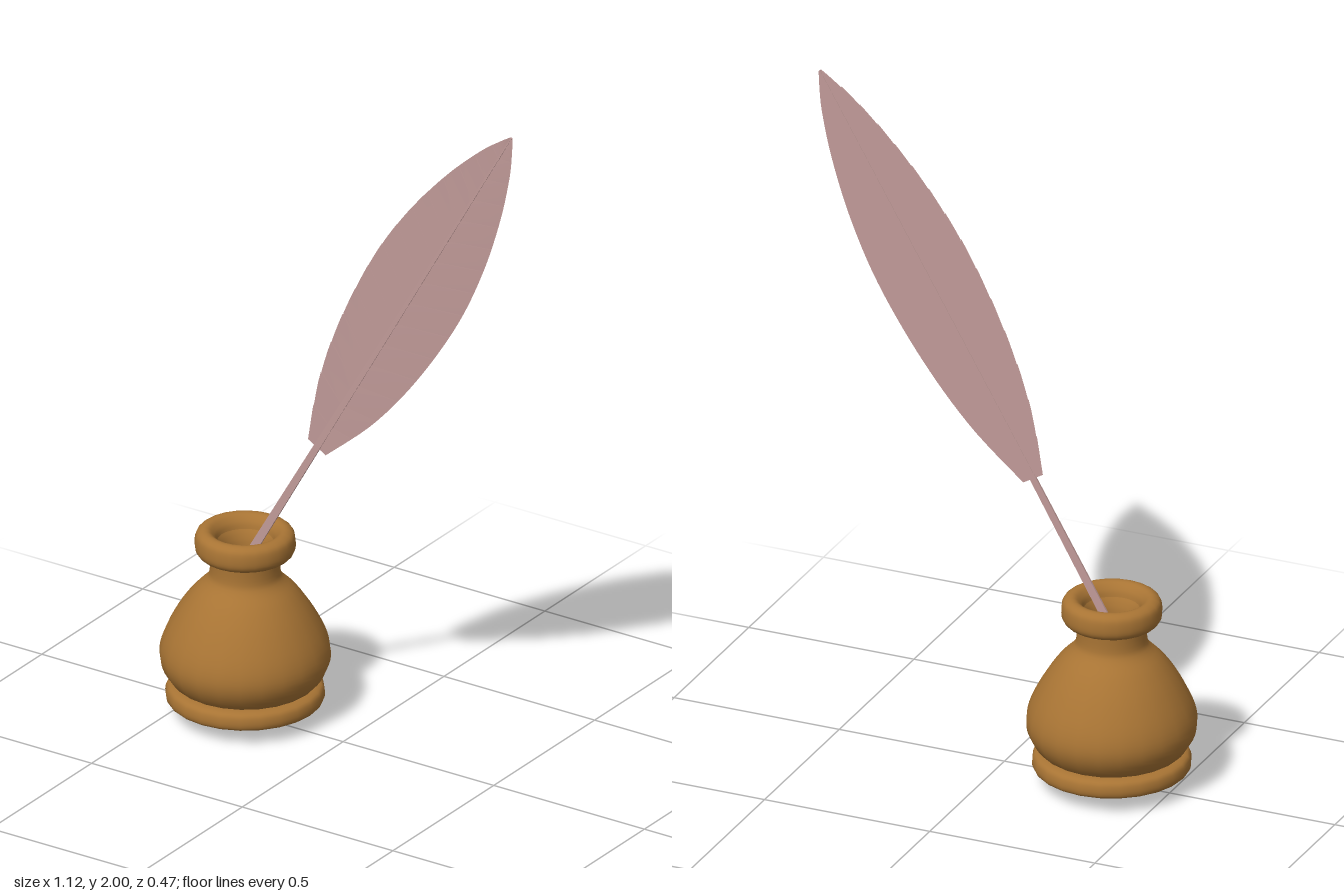
import * as THREE from 'three';

const brown = new THREE.MeshStandardMaterial({ color: 0xa87434, side: THREE.DoubleSide });
const pink = new THREE.MeshStandardMaterial({ color: 0xc09a98, side: THREE.DoubleSide });

const vec2 = ([x, y]) => new THREE.Vector2(x, y);

function addMesh(parent, name, geometry, material) {
  const mesh = new THREE.Mesh(geometry, material);
  mesh.name = name;
  parent.add(mesh);
}

// Turned part: a smooth curve through [radius, height] points
function turned(points, steps) {
  const curve = new THREE.SplineCurve(points.map(vec2));
  const pts = curve.getPoints(steps);
  pts.forEach((p) => { p.x = Math.max(p.x, 0); });
  return new THREE.LatheGeometry(pts, 24);
}

function createInkPot() {
  const pot = new THREE.Group();
  pot.name = 'inkPot';
  addMesh(pot, 'underside', turned([[0, 0.003], [0.06, 0.006], [0.12, 0.016], [0.17, 0.032], [0.205, 0.048]], 12), brown);
  addMesh(pot, 'footRing', turned([[0.205, 0.048], [0.217, 0.055], [0.221, 0.072], [0.216, 0.093], [0.2, 0.102], [0.18, 0.104]], 15), brown);
  addMesh(pot, 'body', turned([[0.18, 0.1], [0.205, 0.115], [0.23, 0.155], [0.237, 0.2], [0.222, 0.255],
    [0.185, 0.325], [0.145, 0.38], [0.108, 0.418], [0.098, 0.445], [0.098, 0.495]], 30), brown);
  addMesh(pot, 'lip', turned([[0.096, 0.49], [0.122, 0.491], [0.137, 0.506], [0.14, 0.53], [0.135, 0.555],
    [0.118, 0.567], [0.1, 0.565], [0.084, 0.548], [0.078, 0.53]], 28), brown);
  // Hollow: narrow throat opening into the belly
  addMesh(pot, 'inside', turned([[0.078, 0.53], [0.07, 0.515], [0.063, 0.49], [0.062, 0.44], [0.09, 0.39],
    [0.15, 0.31], [0.19, 0.22], [0.17, 0.14], [0.1, 0.1], [0, 0.09]], 30), brown);
  return pot;
}

const LENGTH = 1.292;
const BARBS = 15;
const ROWS = 3;
// Half-width of the vane along its length
const outline = new THREE.SplineCurve([[0, 0.034], [0.2, 0.102], [0.42, 0.141], [0.66, 0.154],
  [0.86, 0.137], [1.04, 0.1], [1.18, 0.056], [1.26, 0.02], [LENGTH, 0.003]].map(vec2)).getPoints(80);

function halfWidth(u) {
  const i = Math.max(1, outline.findIndex((p) => p.x >= u - 1e-6));
  const a = outline[i - 1], b = outline[i];
  return THREE.MathUtils.lerp(a.y, b.y, THREE.MathUtils.clamp((u - a.x) / (b.x - a.x), 0, 1));
}

// One side of the vane; barbs slant to the tip and overlap like shingles in front
function vaneGeometry(side, front) {
  const position = [], index = [];
  for (let b = 0; b < BARBS; b++) {
    for (let r = 0; r <= ROWS; r++) {
      const t = (b + r / ROWS) / BARBS;
      const u = t * LENGTH;
      const edge = Math.min(LENGTH, u + 0.1 * Math.sin(Math.PI * t));
      const lift = front ? 0.0035 * r / ROWS : 0;
      const z = front ? 0 : -0.0015;
      position.push(0, u, z + lift * 0.5, side * halfWidth(edge), edge, z + lift);
      if (r < ROWS) {
        const k = (b * (ROWS + 1) + r) * 2;
        const quad = [k, k + 1, k + 3, k, k + 3, k + 2];
        index.push(...((side > 0) === front ? quad : quad.reverse()));
      }
    }
  }
  const g = new THREE.BufferGeometry();
  g.setAttribute('position', new THREE.Float32BufferAttribute(position, 3));
  g.setIndex(index);
  g.computeVertexNormals();
  return g;
}

function createQuill() {
  const quill = new THREE.Group();
  quill.name = 'quill';

  // Thin flat shaft, tapering from the nib to the tip
  const bottom = -0.57;
  const shaft = new THREE.Shape([[-0.004, bottom], [0.004, bottom], [0.013, bottom + 0.06], [0.01, 0],
    [0.002, LENGTH], [-0.002, LENGTH], [-0.01, 0], [-0.013, bottom + 0.06]].map(vec2));
  const shaftGeometry = new THREE.ExtrudeGeometry(shaft, { depth: 0.006, bevelEnabled: false });
  shaftGeometry.translate(0, 0, -0.0025);
  addMesh(quill, 'shaft', shaftGeometry, pink);

  for (const side of [-1, 1]) {
    const name = side < 0 ? 'rightVane' : 'leftVane';
    addMesh(quill, name + 'Front', vaneGeometry(side, true), pink);
    addMesh(quill, name + 'Back', vaneGeometry(side, false), pink);
  }
  return quill;
}

export function createModel() {
  const model = new THREE.Group();
  model.name = 'quillAndInkPot';
  const pot = createInkPot();
  pot.position.x = -0.325;
  const quill = createQuill();
  quill.position.set(-0.087, 0.881, 0);
  quill.rotation.z = -Math.PI / 6;
  model.add(pot, quill);
  return model;
}
